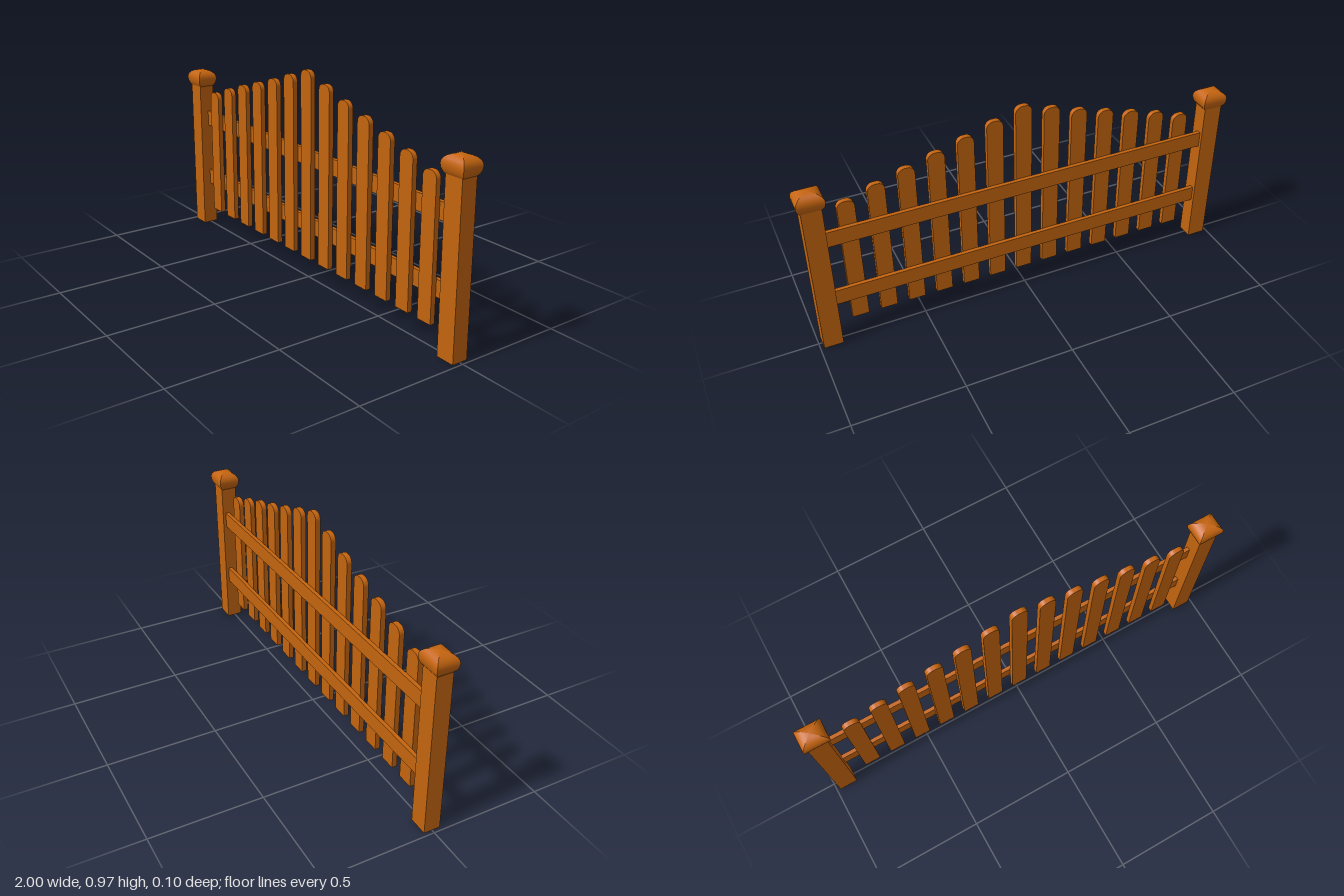
import * as THREE from 'three';
import { mergeGeometries } from 'three/addons/utils/BufferGeometryUtils.js';

const wood = new THREE.MeshStandardMaterial({ color: 0xc4640f });
wood.name = 'warm brown wood';

function addMesh(parent, name, geometry, x = 0, y = 0, z = 0) {
  const mesh = new THREE.Mesh(geometry, wood);
  mesh.name = name;
  mesh.position.set(x, y, z);
  parent.add(mesh);
}

// Flat board with rounded top corners, standing on y = 0
function picketGeometry(width, height, depth) {
  const h = width / 2, r = 0.031;
  const s = new THREE.Shape();
  s.moveTo(-h, 0);
  s.lineTo(h, 0);
  s.lineTo(h, height - r);
  s.absarc(h - r, height - r, r, 0, Math.PI / 2);
  s.absarc(-h + r, height - r, r, Math.PI / 2, Math.PI);
  s.closePath();
  return new THREE.ExtrudeGeometry(s, { depth, bevelEnabled: false, curveSegments: 5 });
}

// Domed cap with a four-sided plan: each side is smooth up its curve, with sharp hips between
function capGeometry(halfX, halfZ) {
  const profile = [
    [0.73, 0.738], [0.87, 0.748], [0.96, 0.761], [1, 0.776], [0.97, 0.789],
    [0.87, 0.8], [0.7, 0.809], [0.48, 0.815], [0.25, 0.818], [0, 0.819],
  ].map(([r, y]) => new THREE.Vector2(r * Math.SQRT2, y));
  const sides = [];
  for (let i = 0; i < 4; i++) {
    const side = new THREE.LatheGeometry(profile, 1, Math.PI / 4 + i * Math.PI / 2, Math.PI / 2);
    side.scale(halfX, 1, halfZ);
    side.computeVertexNormals();
    sides.push(side);
  }
  return mergeGeometries(sides);
}

export function createModel() {
  const fence = new THREE.Group();
  fence.name = 'fence';

  // End posts with caps
  const cap = capGeometry(0.06, 0.05);
  for (const [side, x] of [['left', 0.94], ['right', -0.94]]) {
    const post = new THREE.Group();
    post.name = side + 'Post';
    post.position.x = x;
    addMesh(post, 'postShaft', new THREE.BoxGeometry(0.087, 0.75, 0.074), 0, 0.375, 0);
    addMesh(post, 'postCap', cap);
    fence.add(post);
  }

  // Horizontal rails behind the pickets
  for (const [name, y] of [['lowerRail', 0.253], ['upperRail', 0.57]]) {
    addMesh(fence, name, new THREE.BoxGeometry(1.82, 0.075, 0.018), 0, y, -0.013);
  }

  // Pickets, rising step by step towards the middle
  const tops = [0.97, 0.93, 0.887, 0.848, 0.81, 0.77, 0.725];
  for (let i = -6; i <= 6; i++) {
    addMesh(fence, 'picket', picketGeometry(0.075, tops[Math.abs(i)] - 0.1, 0.023),
      i * 0.1318 + 0.005, 0.1, -0.004);
  }
  return fence;
}
